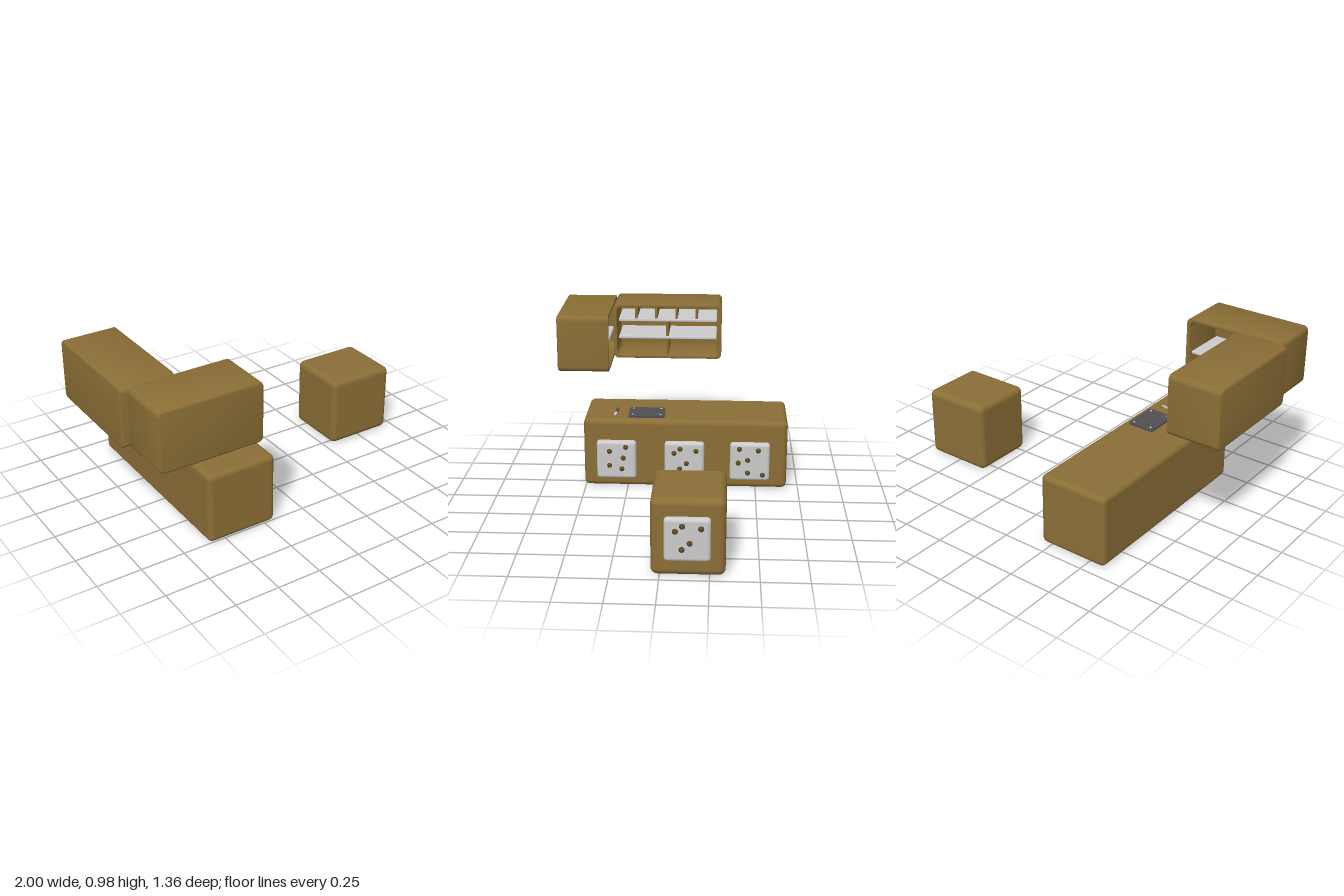
import * as THREE from 'three';
import { RoundedBoxGeometry } from 'three/addons/geometries/RoundedBoxGeometry.js';
import { toCreasedNormals } from 'three/addons/utils/BufferGeometryUtils.js';

const paint = (color) => new THREE.MeshStandardMaterial({ color });
const brown = paint(0x8a6e36);
const darkBrown = paint(0x5f4a24);
const grey = paint(0xcccccc);
const charcoal = paint(0x505050);

function add(parent, name, geometry, material, x = 0, y = 0, z = 0) {
  const mesh = new THREE.Mesh(geometry, material);
  mesh.name = name;
  mesh.position.set(x, y, z);
  parent.add(mesh);
  return mesh;
}

function group(parent, name, x, y, z) {
  const g = new THREE.Group();
  g.name = name;
  g.position.set(x, y, z);
  parent.add(g);
  return g;
}

const rounded = (w, h, d, r) => new RoundedBoxGeometry(w, h, d, 4, r);

// Rounded rectangle centred on the origin
function roundRect(PathType, w, h, r) {
  const p = new PathType();
  const a = w / 2 - r, b = h / 2 - r;
  p.absarc(a, b, r, 0, Math.PI / 2);
  p.absarc(-a, b, r, Math.PI / 2, Math.PI);
  p.absarc(-a, -b, r, Math.PI, Math.PI * 1.5);
  p.absarc(a, -b, r, Math.PI * 1.5, Math.PI * 2);
  p.closePath();
  return p;
}

// Control panel facing +x with scattered round buttons, given as [z, y]
function buttonPanel(parent, x, y, z, buttons) {
  const panel = group(parent, 'buttonPanel', x, y, z);
  add(panel, 'panelPlate', rounded(0.05, 0.232, 0.232, 0.02), grey, 0.008, 0, 0);
  const ball = new THREE.SphereGeometry(0.015, 16, 10);
  for (const [bz, by] of buttons) add(panel, 'button', ball, darkBrown, 0.033, by, bz);
}

// Open cabinet shell, its opening towards local +z
function cabinet(parent, name, w, h, d, x, y, z, angle) {
  const g = group(parent, name, x, y, z);
  g.rotation.y = angle;
  const bevel = 0.012;
  const bevelled = {
    bevelEnabled: true, bevelThickness: bevel, bevelSize: bevel,
    bevelOffset: -bevel, bevelSegments: 3, curveSegments: 6,
  };
  const walls = roundRect(THREE.Shape, w, h, 0.03);
  walls.holes.push(roundRect(THREE.Path, w - 0.04, h - 0.04, 0.03));
  const wallGeometry = new THREE.ExtrudeGeometry(walls, {
    depth: d - 0.015, bevelEnabled: true, bevelThickness: 0.004, bevelSize: 0.004,
    bevelOffset: -0.004, bevelSegments: 2, curveSegments: 6,
  });
  wallGeometry.translate(0, 0, -d / 2 + 0.011);
  add(g, 'cabinetWalls', toCreasedNormals(wallGeometry, 0.7), brown);
  const backGeometry = new THREE.ExtrudeGeometry(roundRect(THREE.Shape, w, h, 0.03), { depth: 0.002, ...bevelled });
  backGeometry.translate(0, 0, -d / 2 + bevel);
  add(g, 'cabinetBack', toCreasedNormals(backGeometry, 0.7), brown);
  return g;
}

export function createModel() {
  const model = new THREE.Group();
  model.name = 'furnitureSet';

  const scatterA = [[0.04, 0.055], [-0.055, 0.082], [-0.04, 0.015], [0.04, -0.032], [-0.032, -0.053]];
  const scatterB = [[0.06, 0.05], [0.025, 0.077], [-0.068, 0.065], [-0.012, -0.013], [0.027, -0.047]];
  const scatterC = [[0.062, 0.082], [-0.048, 0.075], [0.067, -0.003], [0.012, 0.015], [0.012, -0.065], [-0.075, -0.077]];

  // Long counter with three button panels
  const counter = group(model, 'counter', 0, 0, 0);
  add(counter, 'counterBody', rounded(0.41, 0.412, 1.19, 0.03), brown, -0.393, 0.21, -0.087);
  buttonPanel(counter, -0.19, 0.176, 0.315, scatterA);
  buttonPanel(counter, -0.19, 0.176, -0.083, scatterB);
  buttonPanel(counter, -0.19, 0.176, -0.465, scatterC);

  // Separate block with one button panel
  const block = group(model, 'block', 0, 0, 0);
  add(block, 'blockBody', rounded(0.41, 0.412, 0.375, 0.035), brown, 0.75, 0.21, -0.142);
  buttonPanel(block, 0.953, 0.212, -0.139, scatterB);

  // Cutting board with a stud in each corner
  const board = group(model, 'board', -0.31, 0.422, 0.143);
  const boardGeometry = new THREE.ExtrudeGeometry(roundRect(THREE.Shape, 0.158, 0.21, 0.015), {
    depth: 0.012, bevelEnabled: false, curveSegments: 5,
  });
  boardGeometry.rotateX(-Math.PI / 2);
  add(board, 'boardPlate', toCreasedNormals(boardGeometry, 0.7), charcoal, 0, -0.006, 0);
  for (const sx of [-1, 1]) {
    for (const sz of [-1, 1]) {
      add(board, 'boardStud', new THREE.SphereGeometry(0.006, 10, 8), grey, sx * 0.055, 0.006, sz * 0.082);
    }
  }

  // Small knife lying beside the board
  const knife = group(model, 'knife', -0.32, 0.421, 0.325);
  add(knife, 'knifeHandle', rounded(0.07, 0.014, 0.017, 0.006), charcoal, -0.03, 0, -0.002);
  const blade = new THREE.Shape();
  blade.moveTo(0, -0.008);
  blade.lineTo(0.045, -0.012);
  blade.lineTo(0.064, -0.008);
  blade.quadraticCurveTo(0.05, 0.006, 0, 0.007);
  const bladeGeometry = new THREE.ExtrudeGeometry(blade, { depth: 0.004, bevelEnabled: false });
  bladeGeometry.rotateX(-Math.PI / 2);
  add(knife, 'knifeBlade', bladeGeometry, grey, 0, -0.003, 0);

  // Side wall cabinet, opening towards +x
  const side = cabinet(model, 'sideCabinet', 0.66, 0.338, 0.305, -0.847, 0.813, 0.042, Math.PI / 2);
  for (const y of [0.066, -0.043]) {
    add(side, 'shelf', rounded(0.6, 0.018, 0.262, 0.005), grey, 0, y, 0);
  }
  for (let i = 0; i < 4; i++) {
    add(side, 'upperDivider', new THREE.BoxGeometry(0.014, 0.085, 0.25), brown, -0.193 + i * 0.123, 0.11, 0);
  }
  add(side, 'lowerDivider', new THREE.BoxGeometry(0.018, 0.21, 0.25), brown, -0.003, -0.045, 0);

  // Front wall cabinet, opening towards -z
  const front = cabinet(model, 'frontCabinet', 0.585, 0.338, 0.305, -0.668, 0.813, 0.525, Math.PI);
  add(front, 'shelf', rounded(0.535, 0.018, 0.262, 0.005), grey, 0, -0.04, 0);

  return model;
}
